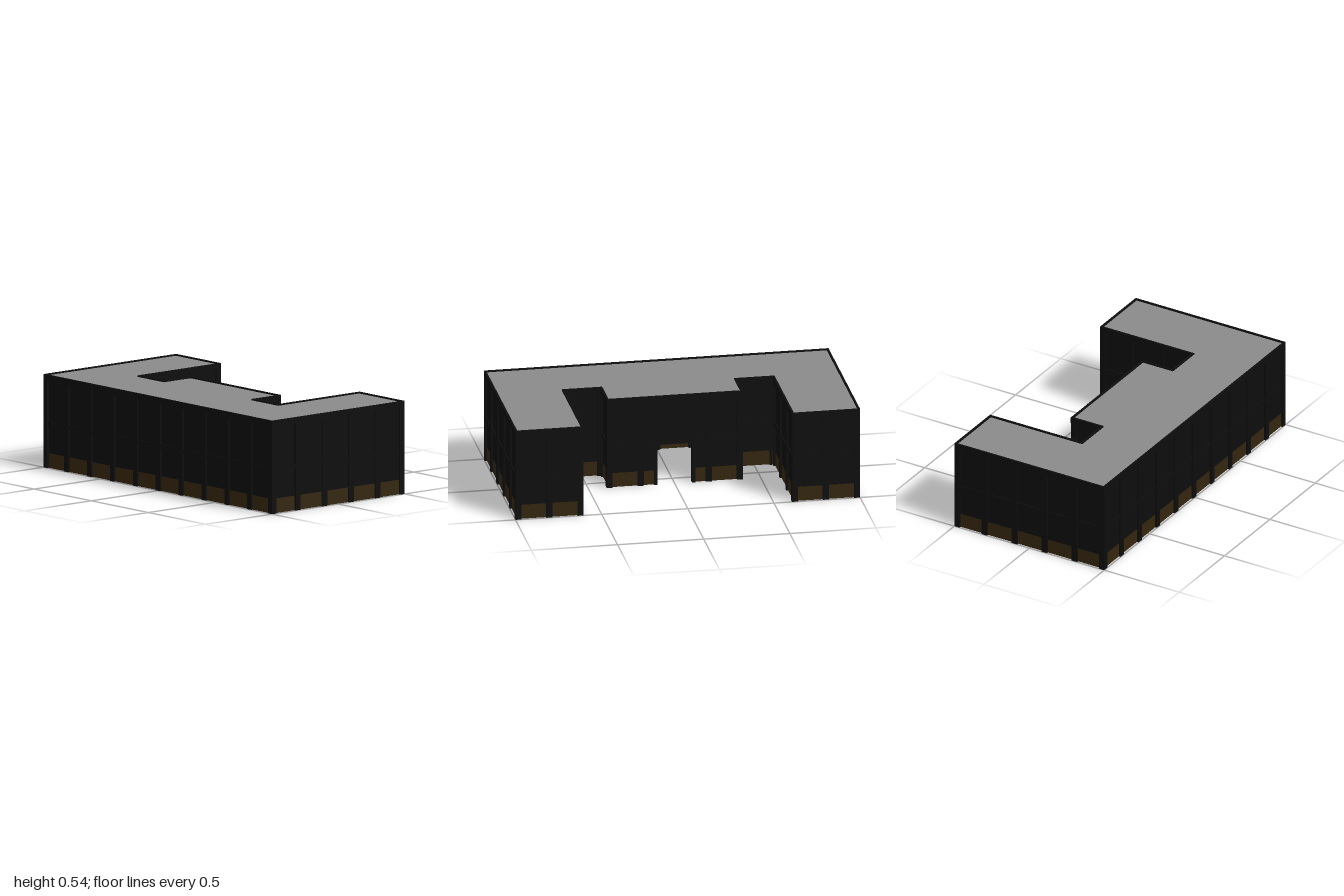
import * as THREE from 'three';

const HEIGHT = 0.54, SKIRT = 0.085, BAY = 0.2, POST = 0.036;
const DOOR_HALF = 0.1, DOOR_TOP = 0.24;

// E-shaped footprint [x, z], counter-clockwise seen from above
const half = [[-0.5, 1], [0.5, 1], [0.5, 0.605], [-0.11, 0.605], [-0.11, 0.395], [0.09, 0.395]];
const outline = [...half, ...half.map(([x, z]) => [x, -z]).reverse()];
const isInner = ([x]) => x === -0.11;

function makeMaterial(name, color) {
  const m = new THREE.MeshStandardMaterial({ color });
  m.name = name;
  return m;
}

export function createModel() {
  const black = makeMaterial('black wall', 0x0d0d0d);
  const brown = makeMaterial('dark brown skirting', 0x34260f);
  const grey = makeMaterial('grey roof', 0x8a8a8a);
  const model = new THREE.Group();
  model.name = 'building';

  // Box given by its extents along the wall, in height and in depth
  function box(group, name, material, s0, s1, y0, y1, d0, d1) {
    const mesh = new THREE.Mesh(new THREE.BoxGeometry(s1 - s0, y1 - y0, d1 - d0), material);
    mesh.position.set((s0 + s1) / 2, (y0 + y1) / 2, (d0 + d1) / 2);
    mesh.name = name;
    group.add(mesh);
  }

  // One straight facade; local x runs along it, local z points outwards
  function facade(a, b, hasDoor) {
    const g = new THREE.Group();
    g.name = hasDoor ? 'entranceFacade' : 'facade';
    const dx = b[0] - a[0], dz = b[1] - a[1], len = Math.hypot(dx, dz);
    g.position.set(a[0], 0, a[1]);
    g.rotation.y = Math.atan2(-dz, dx);
    const mid = len / 2;
    // Inner corners overlap, outer corners stay inside the corner posts
    const s0 = isInner(a) ? -0.018 : 0.012, s1 = len + (isInner(b) ? 0.018 : -0.012);

    const spans = hasDoor ? [[s0, mid - DOOR_HALF], [mid + DOOR_HALF, s1]] : [[s0, s1]];
    for (const [p, q] of spans) {
      box(g, 'skirting', brown, p, q, 0, SKIRT, -0.02, -0.012);
      box(g, 'wallPanel', black, p, q, SKIRT, 0.53, -0.02, -0.012);
      box(g, 'middleBand', black, p, q, 0.245, 0.27, -0.026, -0.004);
    }
    if (hasDoor) {
      box(g, 'doorLintel', black, mid - DOOR_HALF, mid + DOOR_HALF, DOOR_TOP, 0.53, -0.022, -0.008);
      for (const s of [-1, 1]) {
        const c = mid + s * (DOOR_HALF + 0.01);
        box(g, 'doorPost', black, c - 0.01, c + 0.01, 0, 0.52, -0.03, -0.001);
      }
    }
    box(g, 'parapet', black, isInner(a) ? -0.012 : 0, len + (isInner(b) ? 0.012 : 0), 0.505, HEIGHT, -0.012, 0);

    // Posts between the bays, half posts at the corners
    const bays = Math.round(len / BAY);
    for (let i = 0; i <= bays; i++) {
      const c = len * i / bays;
      if (hasDoor && Math.abs(c - mid) < 0.01) continue;
      const p = Math.max(c - POST / 2, 0), q = Math.min(c + POST / 2, len);
      box(g, 'post', black, p, q, 0, 0.52, -0.034, -0.001);
    }
    model.add(g);
  }

  outline.forEach((a, i) => facade(a, outline[(i + 1) % outline.length], i === 5));

  // Flat roof, inset just behind the parapet
  const n = outline.length;
  const normal = (a, b) => {
    const l = Math.hypot(b[0] - a[0], b[1] - a[1]);
    return [-(b[1] - a[1]) / l, (b[0] - a[0]) / l];
  };
  const roofPoints = outline.map((p, i) => {
    const u = normal(outline[(i + n - 1) % n], p), v = normal(p, outline[(i + 1) % n]);
    return new THREE.Vector2(p[0] - 0.011 * (u[0] + v[0]), -(p[1] - 0.011 * (u[1] + v[1])));
  });
  const roofGeometry = new THREE.ExtrudeGeometry(new THREE.Shape(roofPoints), { depth: 0.006, bevelEnabled: false });
  roofGeometry.rotateX(-Math.PI / 2);
  const roof = new THREE.Mesh(roofGeometry, grey);
  roof.position.y = 0.526;
  roof.name = 'roof';
  model.add(roof);

  return model;
}
